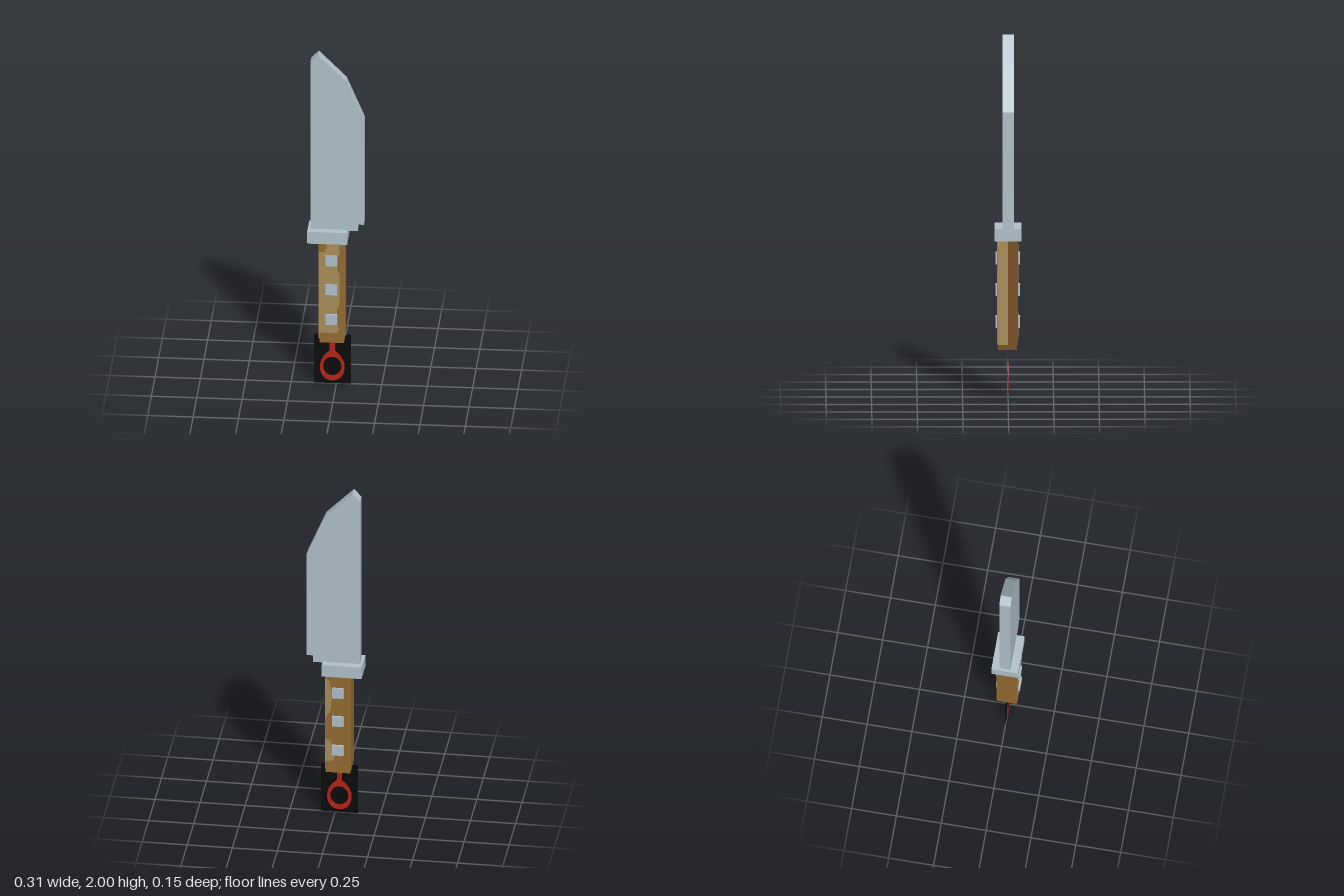
import * as THREE from 'three';

const mat = (name, color, side = THREE.FrontSide) => {
  const m = new THREE.MeshStandardMaterial({ color, side });
  m.name = name;
  return m;
};

export function createModel() {
  const steel = mat('steel', 0xb0c0ca);
  const tan = mat('tanWood', 0xaa8d59);
  const brown = mat('brownWood', 0x936a31);
  const dark = mat('darkWood', 0x7a4c1d);
  const black = mat('blackCard', 0x0b0b0b, THREE.DoubleSide);
  const red = mat('redCord', 0xb42315, THREE.DoubleSide);

  const model = new THREE.Group();
  model.name = 'knife';
  const add = (name, geometry, material) => {
    const mesh = new THREE.Mesh(geometry, material);
    mesh.name = name;
    model.add(mesh);
    return mesh;
  };
  // Box given by its lower and upper corners
  const box = (name, x0, x1, y0, y1, z0, z1, material) =>
    add(name, new THREE.BoxGeometry(x1 - x0, y1 - y0, z1 - z0), material)
      .position.set((x0 + x1) / 2, (y0 + y1) / 2, (z0 + z1) / 2);
  const outline = (pts) => new THREE.Shape(pts.map(([x, y]) => new THREE.Vector2(x, y)));
  // Flat plate facing +z or -z
  const plate = (name, shape, z, material) => {
    const g = new THREE.ExtrudeGeometry(shape, { depth: 0.002, bevelEnabled: false });
    add(name, g, material).position.z = z - 0.001;
  };

  // Blade with clipped tip and notched heel
  const blade = outline([
    [-0.142, 0.94], [0.12, 0.94], [0.12, 0.98], [0.154, 0.98],
    [0.154, 1.61], [0.055, 1.845], [-0.1, 2], [-0.142, 1.955],
  ]);
  add('blade', new THREE.ExtrudeGeometry(blade, { depth: 0.062, bevelEnabled: false }), steel)
    .position.z = -0.032;

  // Guard
  box('guard', -0.156, 0.065, 0.875, 0.946, -0.074, 0.074, steel);

  // Handle halves; materials in order +x, -x, +y, -y, +z, -z
  box('frontGrip', -0.095, 0.05, 0.298, 0.875, 0, 0.058, [tan, brown, brown, brown, tan, brown]);
  box('backGrip', -0.095, 0.05, 0.298, 0.875, -0.056, 0, [dark, brown, brown, brown, brown, brown]);
  box('gripEnd', -0.09, 0.046, 0.27, 0.3, -0.05, 0.054, [dark, brown, brown, brown, brown, brown]);

  // Wood grain patches on the front
  plate('frontEdgeGrain', outline([
    [0.05, 0.3], [0.05, 0.875], [0.018, 0.875], [0.022, 0.81], [0.01, 0.79], [0.01, 0.71],
    [0.02, 0.69], [0.02, 0.5], [0.008, 0.48], [0.008, 0.38], [0.018, 0.36], [0.01, 0.33],
    [-0.09, 0.33], [-0.09, 0.3],
  ]), 0.0585, brown);
  plate('frontTopGrain', outline([
    [-0.095, 0.82], [-0.06, 0.82], [-0.048, 0.86], [-0.048, 0.875], [-0.095, 0.875],
  ]), 0.0585, brown);

  // Lighter grain patches on the back
  plate('backUpperGrain', outline([
    [0.05, 0.6], [0.05, 0.86], [0.025, 0.84], [0.01, 0.77], [0.018, 0.66],
  ]), -0.0565, tan);
  plate('backLowerGrain', outline([
    [0.05, 0.34], [0.05, 0.48], [0.02, 0.47], [0.0, 0.43], [0.0, 0.35],
  ]), -0.0565, tan);

  // Square rivets on both faces
  for (const y of [0.77, 0.595, 0.415])
    box('rivet', -0.055, 0.009, y - 0.031, y + 0.031, -0.066, 0.068, steel);

  // Flat hanging card
  add('hangingCard', new THREE.PlaneGeometry(0.204, 0.298), black).position.set(-0.023, 0.149, 0);

  // Cord loop painted on both faces of the card
  const cx = -0.023;
  const loop = new THREE.Shape();
  loop.moveTo(cx - 0.014, 0.27);
  loop.lineTo(cx - 0.014, 0.2);
  loop.bezierCurveTo(cx - 0.04, 0.175, cx - 0.068, 0.15, cx - 0.068, 0.1);
  loop.bezierCurveTo(cx - 0.068, 0.05, cx - 0.04, 0.018, cx, 0.018);
  loop.bezierCurveTo(cx + 0.04, 0.018, cx + 0.068, 0.05, cx + 0.068, 0.1);
  loop.bezierCurveTo(cx + 0.068, 0.15, cx + 0.04, 0.175, cx + 0.014, 0.2);
  loop.lineTo(cx + 0.014, 0.27);
  loop.closePath();
  const hole = new THREE.Path();
  hole.absellipse(cx, 0.105, 0.05, 0.056, 0, Math.PI * 2, true);
  loop.holes.push(hole);
  for (const z of [0.003, -0.003]) plate('cordLoop', loop, z, red);

  return model;
}
